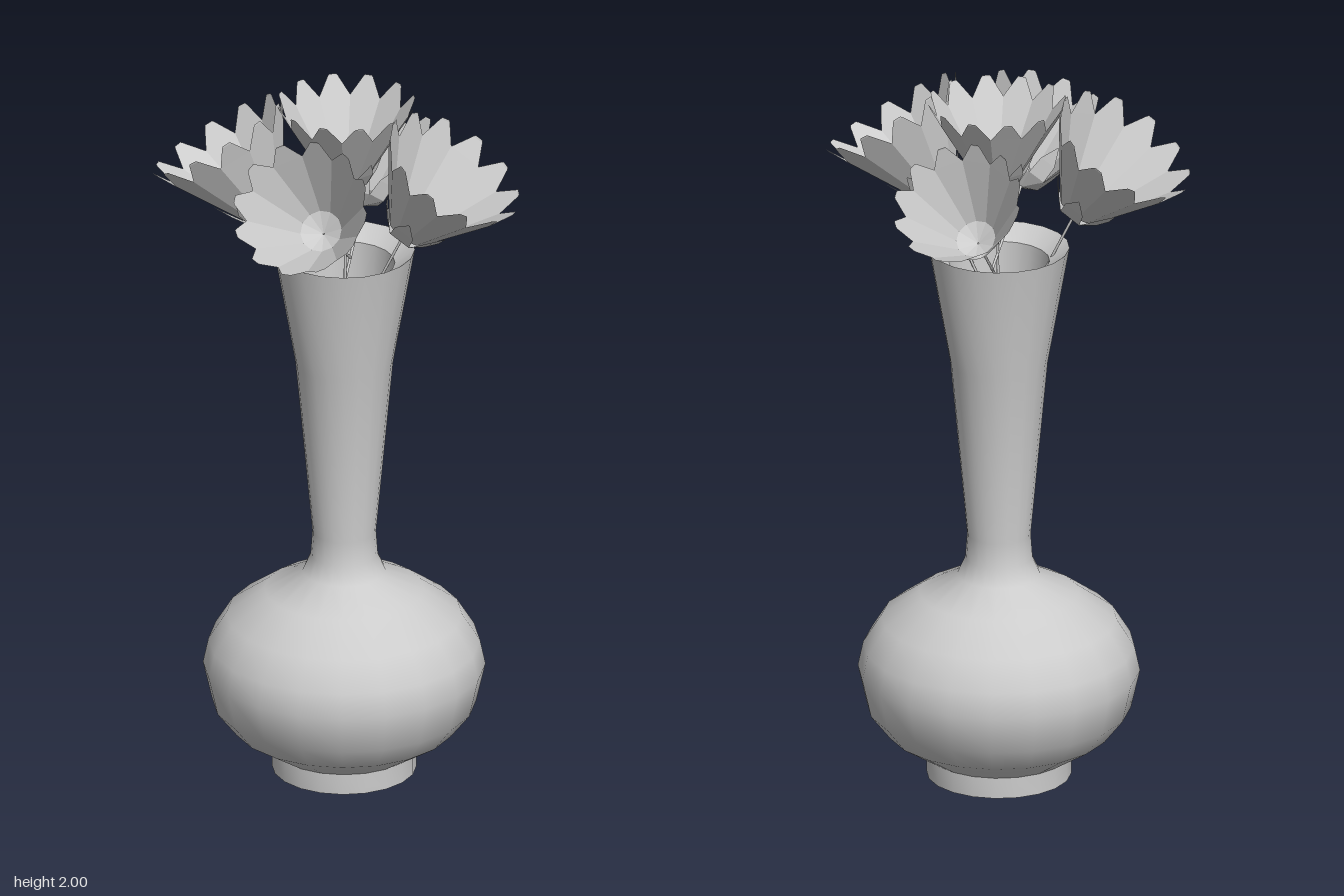
import * as THREE from 'three';
import { toCreasedNormals } from 'three/addons/utils/BufferGeometryUtils.js';

const vaseMat = new THREE.MeshStandardMaterial({ color: 0xcccccc });
const petalMat = new THREE.MeshStandardMaterial({ color: 0xcccccc, flatShading: true, side: THREE.DoubleSide });
const UP = new THREE.Vector3(0, 1, 0);

function addMesh(parent, name, geometry, material) {
  const mesh = new THREE.Mesh(geometry, material);
  mesh.name = name;
  parent.add(mesh);
  return mesh;
}

// Ring of flat facets around +y. Each outline point is [radius, height, share of facet half-angle].
function petalRing(count, outline, twist = 0) {
  const pos = [];
  const half = Math.PI / count;
  for (let k = 0; k < count; k++) {
    const a = 2 * half * k + twist;
    // radius is the apothem, so every petal stays planar across its width
    const at = ([r, h, s], side) => {
      const w = r * Math.tan(half) * s * side;
      return [r * Math.sin(a) + w * Math.cos(a), h, r * Math.cos(a) - w * Math.sin(a)];
    };
    for (let i = 0; i < outline.length - 1; i++) {
      const l0 = at(outline[i], -1), r0 = at(outline[i], 1);
      const l1 = at(outline[i + 1], -1), r1 = at(outline[i + 1], 1);
      pos.push(...l0, ...r1, ...r0, ...l0, ...l1, ...r1);
    }
  }
  const g = new THREE.BufferGeometry();
  g.setAttribute('position', new THREE.Float32BufferAttribute(pos, 3));
  g.computeVertexNormals();
  return g;
}

function makeFlower(name, base, axis, scale) {
  const flower = new THREE.Group();
  flower.name = name;
  // Cup of blunt-tipped petals, bent near the base
  addMesh(flower, 'petals', petalRing(12, [
    [0.002, 0, 1], [0.06, 0.03, 1], [0.17, 0.215, 1], [0.2, 0.265, 0.28], [0.202, 0.27, 0.2],
  ]), petalMat);
  // Short pointed sepals hugging the base
  addMesh(flower, 'sepals', petalRing(6, [
    [0.002, -0.008, 1], [0.055, 0.016, 1], [0.085, 0.06, 0.6], [0.112, 0.105, 0.03],
  ]), petalMat);
  flower.position.copy(base);
  flower.quaternion.setFromUnitVectors(UP, axis.clone().normalize());
  flower.scale.setScalar(scale);
  return flower;
}

export function createModel() {
  const model = new THREE.Group();
  model.name = 'vaseWithFlowers';

  // Vase: foot, round belly, flared neck, sloping lip and hollow inside
  const profile = [
    [0, 0], [0.2, 0], [0.2, 0.06], [0.31, 0.13], [0.365, 0.2], [0.39, 0.31], [0.375, 0.38],
    [0.325, 0.46], [0.22, 0.535], [0.115, 0.59], [0.093, 0.64], [0.088, 0.71],
    [0.135, 1.22], [0.195, 1.56], [0.14, 1.52], [0.115, 1.22], [0.07, 0.75], [0, 0.74],
  ].map(([r, y]) => new THREE.Vector2(r, y));
  const vase = addMesh(model, 'vase', toCreasedNormals(new THREE.LatheGeometry(profile, 20), 0.8), vaseMat);
  vase.position.z = -0.015;

  // Flowers: base point, facing axis, size and the foot of the stem
  const v = (x, y, z) => new THREE.Vector3(x, y, z);
  const tilt = (deg) => [Math.cos(deg * Math.PI / 180), Math.sin(deg * Math.PI / 180)];
  const [sc, ss] = tilt(57), [fc, fs] = tilt(39), [bc, bs] = tilt(48);
  const flowers = [
    ['leftFlower', v(0.195, 1.655, 0.055), v(sc, ss, 0), 1.03, v(0.02, 1.3, 0.05)],
    ['rightFlower', v(-0.195, 1.655, 0.055), v(-sc, ss, 0), 1.03, v(-0.02, 1.3, 0.05)],
    ['frontFlower', v(0, 1.68, 0.16), v(0, fs, fc), 0.95, v(0, 1.51, -0.07)],
    ['backFlower', v(0, 1.63, -0.175), v(0, bs, -bc), 0.9, v(0, 1.44, 0)],
    ['centreFlower', v(0, 1.743, -0.03), v(0, 1, 0), 0.95, v(0, 1.25, -0.015)],
  ];
  for (const [name, base, axis, scale, foot] of flowers) {
    model.add(makeFlower(name, base, axis, scale));
    const path = new THREE.LineCurve3(foot, base);
    addMesh(model, name + 'Stem', new THREE.TubeGeometry(path, 1, 0.004, 6), vaseMat);
  }
  return model;
}
